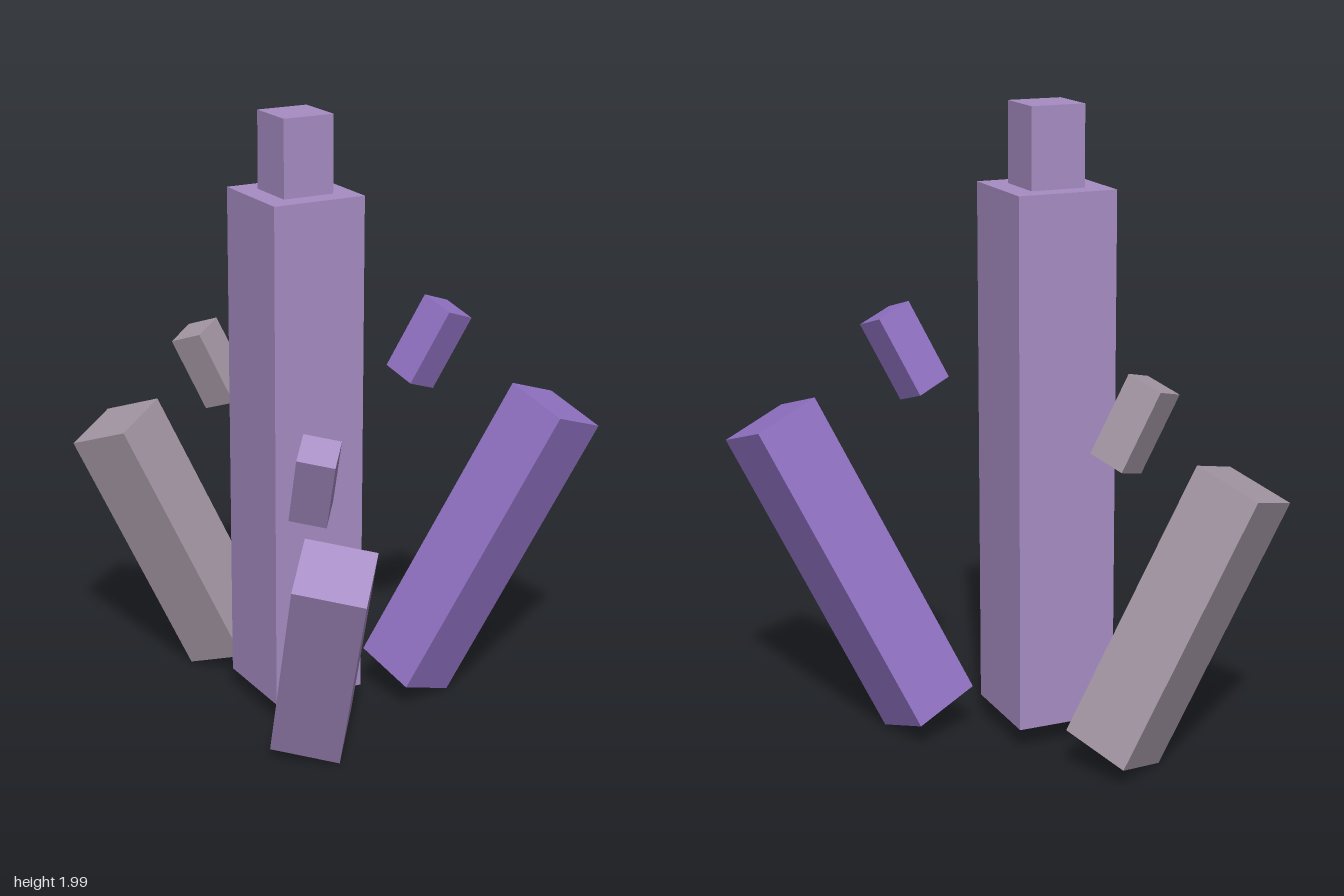
import * as THREE from 'three';

export function createModel() {
  const group = new THREE.Group();
  group.name = 'crystalCluster';

  const material = (name, color) => {
    const m = new THREE.MeshStandardMaterial({ color });
    m.name = name;
    return m;
  };
  const mauve = material('mauve', 0xa78dc4);
  const violet = material('violet', 0x9273c6);
  const grey = material('warmGrey', 0xa699a6);

  // A square prism: growth axis = up, one side of its cross-section = side
  function prism(name, mat, width, length, center, up, side) {
    const y = new THREE.Vector3(...up).normalize();
    const x = new THREE.Vector3(...side);
    x.addScaledVector(y, -x.dot(y)).normalize();
    const z = new THREE.Vector3().crossVectors(x, y);
    const mesh = new THREE.Mesh(new THREE.BoxGeometry(width, length, width), mat);
    mesh.name = name;
    mesh.quaternion.setFromRotationMatrix(new THREE.Matrix4().makeBasis(x, y, z));
    mesh.position.set(...center);
    group.add(mesh);
  }

  // Upright central crystal with its narrower tip, turned 45 degrees
  prism('mainCrystal', mauve, 0.318, 1.67, [-0.08, 0.915, -0.155], [0, 1, 0], [1, 0, 1]);
  prism('mainTip', mauve, 0.174, 0.264, [-0.08, 1.868, -0.155], [0, 1, 0], [1, 0, 1]);

  // Leaning crystals, each with a floating shard of the same tilt
  const leaning = [
    { name: 'left', mat: violet, length: 1.055, center: [0.488, 0.555, -0.385],
      shard: [0.318, 1.245, -0.325], up: [0.455, 0.94, -0.15], side: [0.18, -0.07, 0.12] },
    { name: 'right', mat: grey, length: 0.914, center: [-0.56, 0.49, -0.307],
      shard: [-0.437, 1.095, -0.362], up: [-0.35, 0.83, 0.155], side: [0.205, 0.075, 0.06] },
    { name: 'front', mat: mauve, length: 0.758, center: [0.153, 0.414, 0.338],
      shard: [0.1, 0.943, 0.243], up: [0.16, 0.68, 0.295], side: [0.215, -0.035, -0.035] },
  ];
  for (const c of leaning) {
    prism(c.name + 'Crystal', c.mat, 0.226, c.length, c.center, c.up, c.side);
    prism(c.name + 'Shard', c.mat, 0.12, 0.264, c.shard, c.up, c.side);
  }
  return group;
}
